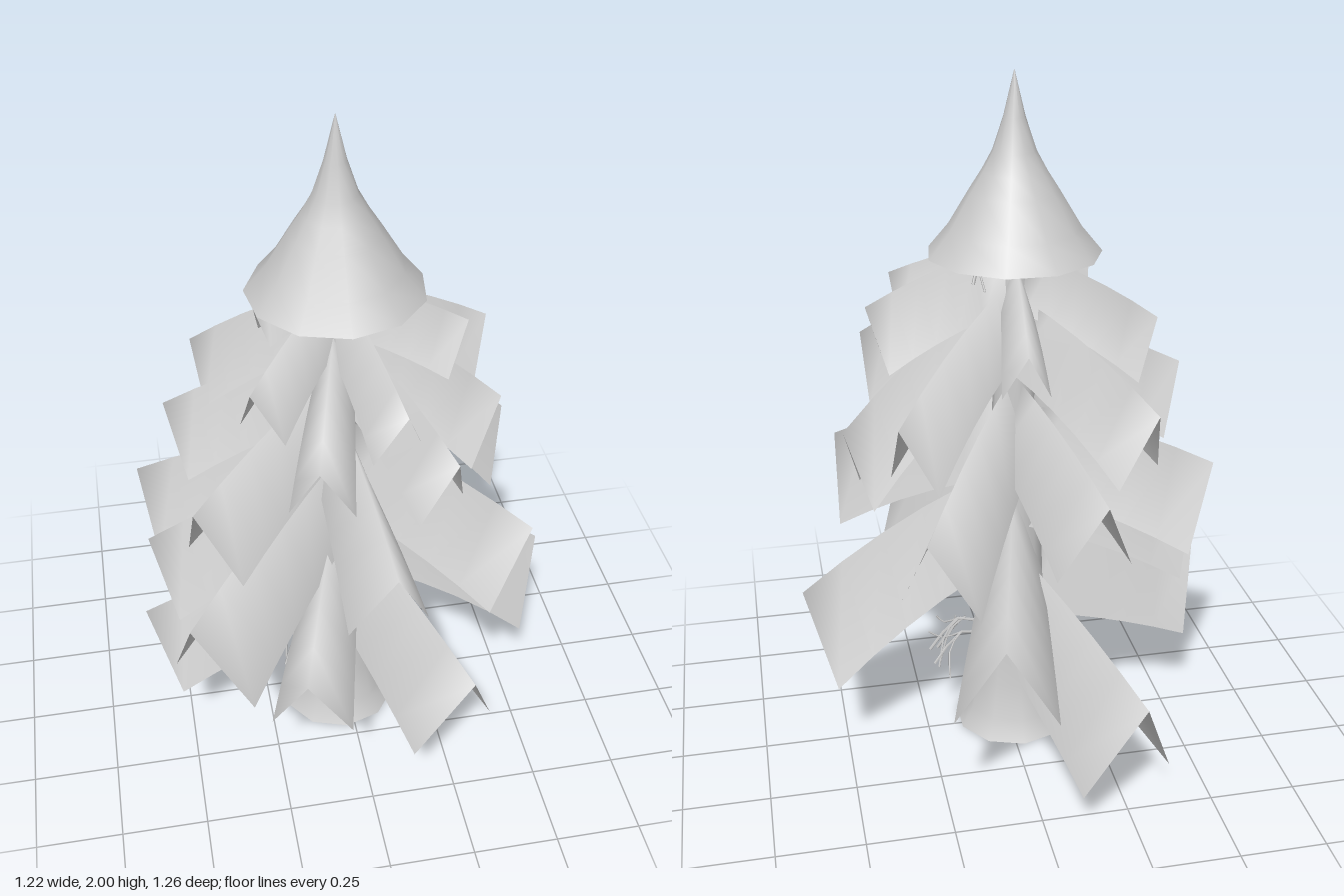
import * as THREE from 'three';

const CX = -0.025, CZ = 0.035; // trunk axis
const mat = new THREE.MeshStandardMaterial({ color: 0xcccccc, side: THREE.DoubleSide });

function add(parent, name, geometry) {
  const mesh = new THREE.Mesh(geometry, mat);
  mesh.name = name;
  parent.add(mesh);
  return mesh;
}

function lathe(profile, sides) {
  const points = profile.map(([r, y]) => new THREE.Vector2(r, y));
  return new THREE.LatheGeometry(points, sides).translate(CX, 0, CZ);
}

// Folded bough: a drooping ridge with two sides hanging from it, open below
function boughGeometry(tx, ty, tz, rise) {
  const dx = tx - CX, dz = tz - CZ, len = Math.hypot(dx, dz);
  const ux = dx / len, uz = dz / len;
  const steps = 5, position = [], index = [];
  const drop = 0.41 * len;
  for (let i = 0; i <= steps; i++) {
    const t = i / steps;
    const r = 0.03 + (len - 0.03) * t;
    const y = ty + rise * (1 - 0.6 * t - 0.4 * t * t);
    const half = 0.21 * len * (0.6 + 0.4 * t), back = 0.12 * len * t;
    for (const side of [-1, 0, 1]) {
      const out = r - Math.abs(side) * back;
      position.push(
        CX + ux * out - uz * half * side,
        y - Math.abs(side) * drop,
        CZ + uz * out + ux * half * side);
    }
    if (i < steps) {
      for (const k of [0, 1]) {
        const a = i * 3 + k, b = a + 1, c = a + 3, d = a + 4;
        index.push(a, b, c, b, d, c);
      }
    }
  }
  const g = new THREE.BufferGeometry();
  g.setAttribute('position', new THREE.Float32BufferAttribute(position, 3));
  g.setIndex(index);
  g.computeVertexNormals();
  return g;
}

// Thin dead twig with two side shoots
function twig(parent, angle, y, len, droop) {
  const at = (r, a, h) => new THREE.Vector3(CX + Math.sin(a) * r, h, CZ + Math.cos(a) * r);
  const stick = (pts, radius) =>
    add(parent, 'twig', new THREE.TubeGeometry(new THREE.CatmullRomCurve3(pts), 4, radius, 4));
  const mid = at(0.07 + len * 0.5, angle, y + 0.01);
  stick([at(0.05, angle, y - 0.03), mid, at(0.07 + len, angle + 0.12, y - droop)], 0.005);
  for (const s of [-1, 1]) {
    stick([mid, at(0.07 + len * 0.75, angle + s * 0.15, y - droop * 0.3),
      at(0.07 + len * 0.95, angle + s * 0.38, y - droop * (0.9 + s * 0.4))], 0.003);
  }
}

// Ridge tip of each bough (x, y, z), and the rise from tip to trunk
const boughTiers = [
  [ // bottom
    [-0.26, 0.42, -0.62, 0.17], [0.13, 0.66, -0.63, 0.15], [0.61, 0.52, 0.01, 0.34],
    [0.25, 0.58, 0.63, 0.18], [-0.2, 0.58, 0.56, 0.2], [-0.61, 0.5, 0.1, 0.14],
  ],
  [ // lower middle
    [-0.5, 0.79, 0.5, 0.22], [0.47, 0.87, 0.35, 0.22], [-0.59, 0.88, -0.1, 0.18],
    [-0.58, 0.72, 0.03, 0.2], [0.04, 0.95, 0.575, 0.18], [0.3, 0.88, -0.44, 0.26],
  ],
  [ // upper middle
    [-0.17, 0.97, -0.49, 0.17], [0.47, 1.03, -0.01, 0.38], [-0.5, 1.17, -0.01, 0.16],
    [-0.46, 1.05, 0.34, 0.2], [0.39, 1.24, 0.22, 0.22], [-0.14, 1.22, 0.44, 0.2],
    [-0.35, 1.14, -0.32, 0.24], [0.34, 1.12, -0.23, 0.3], [0.24, 1.15, 0.385, 0.26],
  ],
  [ // top
    [-0.41, 1.33, -0.07, 0.18], [-0.29, 1.37, 0.28, 0.16], [0.39, 1.38, 0.03, 0.15],
    [0.1, 1.32, 0.38, 0.2], [0, 1.32, -0.28, 0.18], [-0.25, 1.5, 0.08, 0.06],
    [0.31, 1.44, 0.14, 0.1],
  ],
];

export function createModel() {
  const tree = new THREE.Group();
  tree.name = 'firTree';

  // Trunk with a flared foot
  add(tree, 'trunk', lathe([[0.18, 0], [0.145, 0.06], [0.12, 0.17], [0.095, 0.34],
    [0.08, 0.7], [0.06, 1.1], [0.035, 1.5], [0.001, 1.62]], 10));

  // Tiers of boughs
  boughTiers.forEach((tier, i) => {
    const group = new THREE.Group();
    group.name = 'boughTier' + (i + 1);
    for (const tip of tier) add(group, 'bough', boughGeometry(...tip));
    tree.add(group);
  });

  // Pointed crown, open underneath
  add(tree, 'crown', lathe([[0.243, 1.51], [0.185, 1.58], [0.125, 1.68], [0.09, 1.735],
    [0.06, 1.79], [0.03, 1.88], [0.001, 2]], 11));

  // Dead twigs under the boughs and below the crown
  const twigs = new THREE.Group();
  twigs.name = 'twigs';
  for (const [a, y, len, droop] of [
    [1.45, 0.34, 0.19, 0.08], [1.75, 0.32, 0.2, 0.06], [1.1, 0.31, 0.17, 0.1],
    [-1.5, 0.33, 0.13, 0.1], [-1.15, 0.32, 0.14, 0.08], [-1.9, 0.34, 0.13, 0.07],
    [2, 1.5, 0.08, 0.05],
  ]) twig(twigs, a, y, len, droop);
  tree.add(twigs);

  return tree;
}
